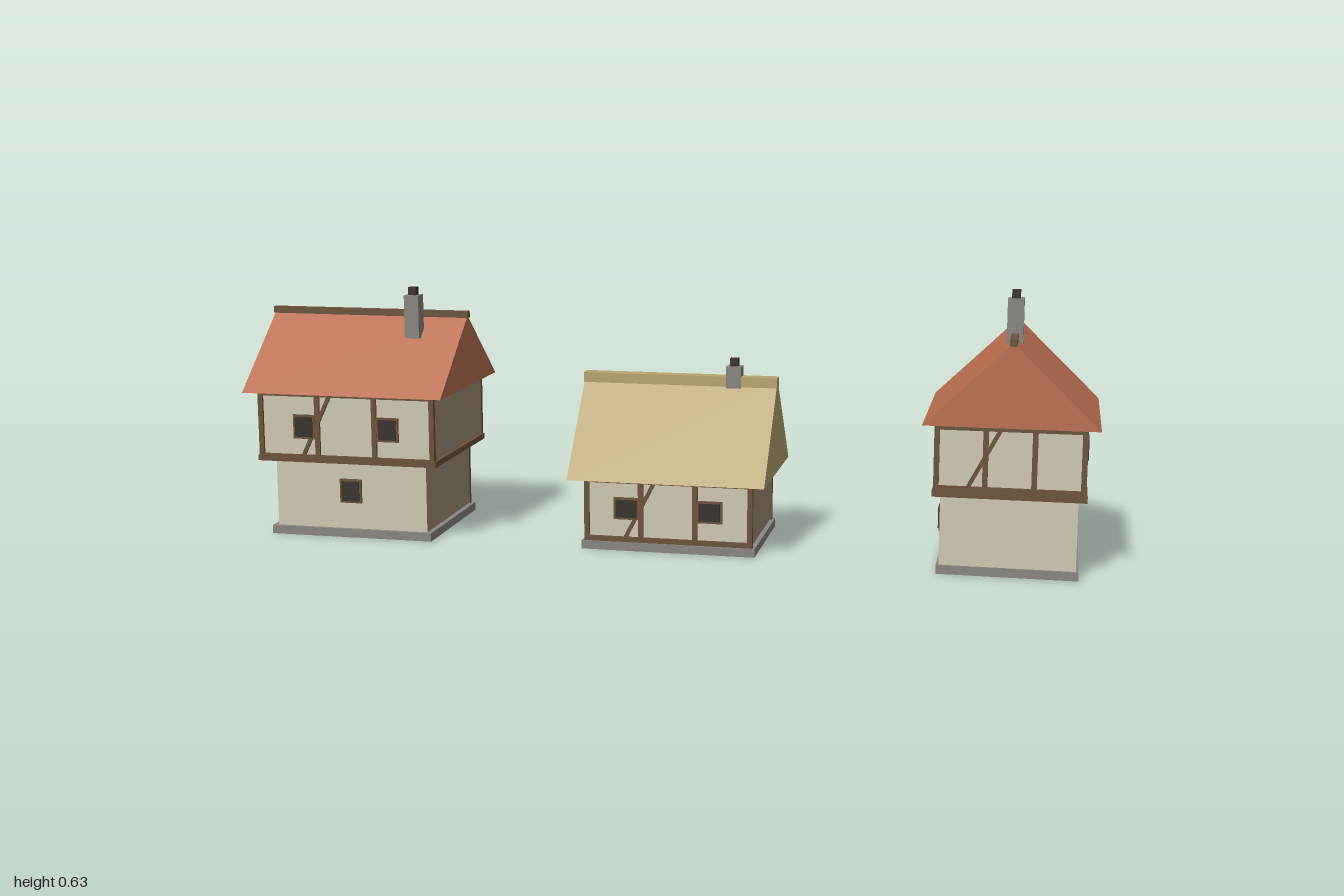
import * as THREE from 'three';

const mat = (color) => new THREE.MeshStandardMaterial({ color, flatShading: true });
const plaster = mat(0xd0c8b4), sidePlaster = mat(0xa08e76), wood = mat(0x6b543c), stone = mat(0x8a8680);
const dark = mat(0x3a332d), tile = mat(0xbb7052), thatch = mat(0xb8a572);
const Z = 0.002; // shared depth centre of the houses

function box(parent, name, material, w, h, d, x, y, z) {
  const mesh = new THREE.Mesh(new THREE.BoxGeometry(w, h, d), material);
  mesh.name = name;
  mesh.position.set(x, y, z);
  parent.add(mesh);
  return mesh;
}

// Framed opening placed on a wall; angle turns its outward +z direction
function opening(parent, name, x, y, z, angle, w = 0.054, h = 0.058) {
  const g = new THREE.Group();
  g.name = name;
  box(g, 'frame', wood, w, h, 0.012, 0, 0, 0);
  box(g, 'pane', dark, w - 0.01, h - 0.01, 0.004, 0, 0, 0.0065);
  g.position.set(x, y, z);
  g.rotation.y = angle;
  parent.add(g);
}

// Walls of one storey, w and d are the plaster sizes
function storey(parent, name, w, d, y0, y1, brownSides) {
  const side = brownSides ? sidePlaster : plaster;
  box(parent, name, [side, side, plaster, plaster, plaster, plaster], w, y1 - y0, d, 0, (y0 + y1) / 2, 0);
}

// Posts, rails and one diagonal brace on the wall facing +z (s = 1) or -z (s = -1)
function timbers(parent, w, d, y0, y1, s) {
  const g = new THREE.Group();
  g.name = 'timberFrame';
  const h = y1 - y0, z = s * d / 2, t = 0.012;
  for (const f of [-0.5, -1 / 6, 1 / 6, 0.5])
    box(g, 'post', wood, t, h, t, f * w, y0 + h / 2, z);
  for (const y of [y0 + t / 2, y1 - t / 2])
    box(g, 'rail', wood, w + t, t, t, 0, y, z);
  const dx = 0.068, dy = h - 0.02;
  const brace = box(g, 'brace', wood, 0.009, Math.hypot(dx, dy), 0.011, -w / 6 - 0.003, y0 + h / 2, z);
  brace.rotation.z = -Math.atan2(dx, dy);
  parent.add(g);
}

// Solid gable prism with its ridge along z, then turned when the ridge runs along x
function roof(parent, material, span, length, y0, y1, ridge, alongX) {
  const g = new THREE.Group();
  g.name = 'roof';
  const shape = new THREE.Shape();
  shape.moveTo(-span / 2, y0);
  shape.lineTo(span / 2, y0);
  shape.lineTo(0, y1);
  const geo = new THREE.ExtrudeGeometry(shape, { depth: length, bevelEnabled: false });
  geo.translate(0, 0, -length / 2);
  const prism = new THREE.Mesh(geo, material);
  prism.name = 'roofSlopes';
  g.add(prism);
  box(g, 'ridgeCap', ridge.material, ridge.w, ridge.top - ridge.bottom, length + ridge.extra,
    0, (ridge.top + ridge.bottom) / 2, 0);
  if (alongX) g.rotation.y = Math.PI / 2;
  parent.add(g);
}

function chimney(parent, x, y0, y1, z) {
  const g = new THREE.Group();
  g.name = 'chimney';
  box(g, 'shaft', stone, 0.036, y1 - y0, 0.036, x, (y0 + y1) / 2, z);
  box(g, 'pot', dark, 0.019, 0.02, 0.019, x, y1 + 0.009, z);
  parent.add(g);
}

function house(parent, name, x) {
  const g = new THREE.Group();
  g.name = name;
  g.position.set(x, 0, Z);
  parent.add(g);
  return g;
}

export function createModel() {
  const model = new THREE.Group();
  model.name = 'village';
  const back = Math.PI;

  // Two-storey house with the ridge along x and a jettied upper floor
  const a = house(model, 'wideHouse', -0.749);
  box(a, 'plinth', stone, 0.405, 0.02, 0.34, 0, 0.01, 0);
  storey(a, 'groundFloor', 0.38, 0.32, 0.02, 0.185, true);
  timbers(a, 0.374, 0.32, 0.02, 0.185, -1);
  box(a, 'jettyBeam', wood, 0.448, 0.014, 0.376, 0, 0.191, 0);
  storey(a, 'upperFloor', 0.432, 0.362, 0.19, 0.355, true);
  for (const s of [1, -1]) timbers(a, 0.43, 0.362, 0.19, 0.355, s);
  opening(a, 'window', 0, 0.113, 0.16, 0);
  for (const x of [-0.105, 0.105]) opening(a, 'window', x, 0.27, 0.181, 0);
  for (const x of [-0.143, 0, 0.143]) opening(a, 'window', x, 0.27, -0.181, back);
  opening(a, 'window', 0.12, 0.113, -0.16, back);
  opening(a, 'door', -0.1, 0.08, -0.161, back, 0.062, 0.12);
  roof(a, tile, 0.427, 0.496, 0.352, 0.524,
    { material: wood, w: 0.016, bottom: 0.519, top: 0.535, extra: 0.006 }, true);
  chimney(a, 0.131, 0.475, 0.578, 0.055);

  // Single-storey thatched cottage
  const b = house(model, 'cottage', 0.027);
  box(b, 'plinth', stone, 0.412, 0.02, 0.312, 0, 0.01, 0);
  storey(b, 'walls', 0.39, 0.292, 0.02, 0.172, true);
  for (const s of [1, -1]) timbers(b, 0.388, 0.292, 0.02, 0.172, s);
  for (const x of [-0.099, 0.099]) opening(b, 'window', x, 0.1, 0.146, 0, 0.06, 0.052);
  for (const x of [-0.125, 0.13]) opening(b, 'window', x, 0.1, -0.146, back, 0.06, 0.052);
  opening(b, 'door', 0.015, 0.078, -0.147, back, 0.062, 0.116);
  roof(b, thatch, 0.377, 0.465, 0.17, 0.392,
    { material: thatch, w: 0.032, bottom: 0.374, top: 0.398, extra: 0.002 }, true);
  chimney(b, 0.13, 0.37, 0.422, 0);

  // Tall house with its gable towards the front and back
  const c = house(model, 'gableHouse', 0.807);
  box(c, 'plinth', stone, 0.312, 0.02, 0.415, 0, 0.01, 0);
  storey(c, 'groundFloor', 0.3, 0.404, 0.02, 0.18, false);
  box(c, 'jettyBeam', wood, 0.338, 0.014, 0.415, 0, 0.183, 0);
  storey(c, 'upperFloor', 0.326, 0.404, 0.19, 0.34, true);
  for (const s of [1, -1]) timbers(c, 0.32, 0.404, 0.19, 0.34, s);
  for (const x of [-0.1, 0.1]) opening(c, 'window', x, 0.261, -0.202, back);
  opening(c, 'window', 0.163, 0.261, 0, Math.PI / 2, 0.054, 0.062);
  for (const z of [-0.1, 0.1]) opening(c, 'window', -0.15, 0.108, z, -Math.PI / 2);
  opening(c, 'window', 0.09, 0.11, -0.202, back);
  opening(c, 'door', -0.05, 0.08, -0.202, back, 0.062, 0.12);
  opening(c, 'gableWindow', 0, 0.39, -0.221, back, 0.05, 0.052);
  roof(c, tile, 0.386, 0.441, 0.338, 0.526,
    { material: wood, w: 0.016, bottom: 0.519, top: 0.535, extra: 0.013 }, false);
  chimney(c, 0, 0.51, 0.612, 0.112);

  return model;
}
